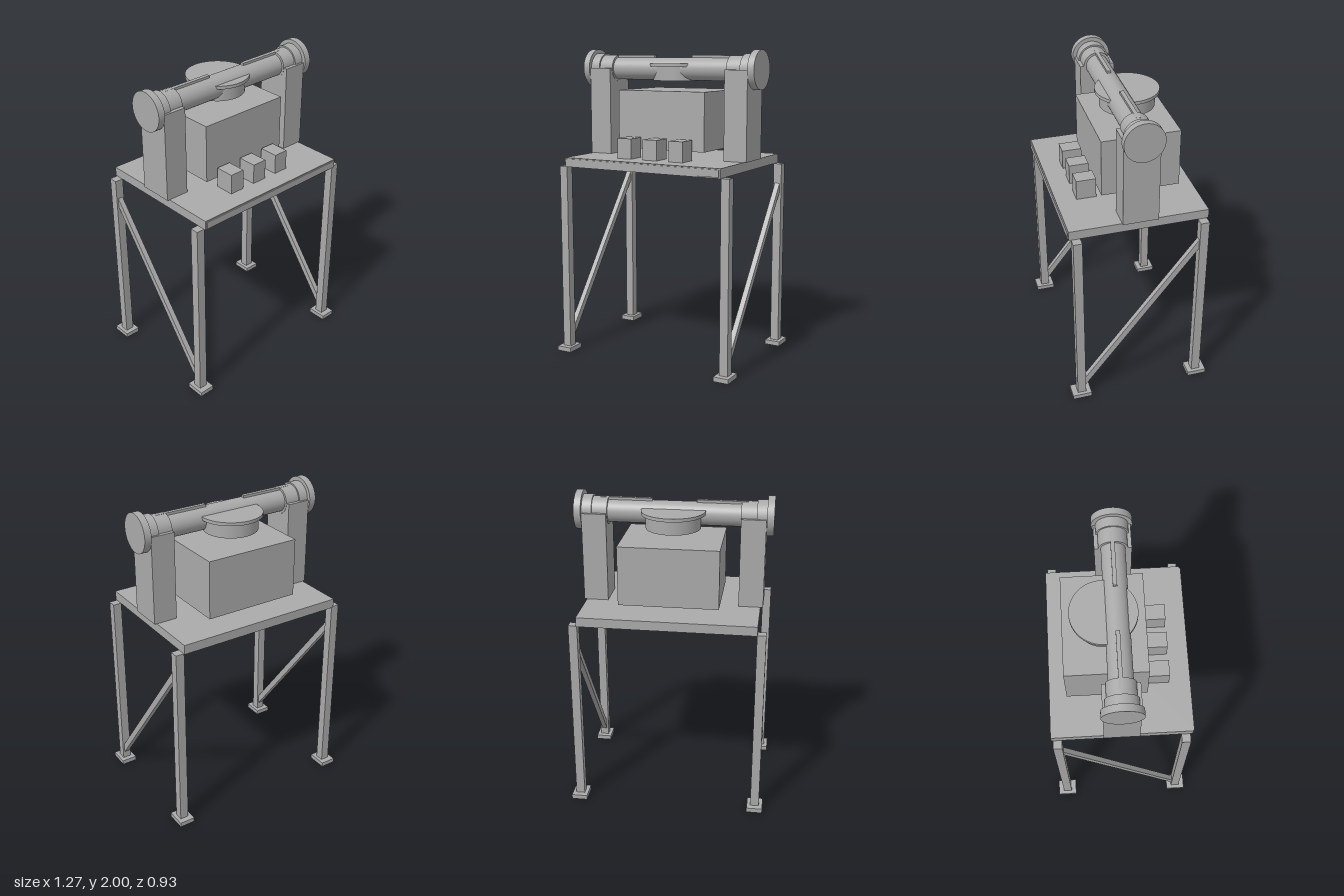
import * as THREE from 'three';

export function createModel() {
  const model = new THREE.Group();
  model.name = 'tubeOnStand';
  const grey = new THREE.MeshStandardMaterial({ color: 0xaaaaaa });
  grey.name = 'plain grey';

  const add = (name, geometry, x, y, z) => {
    const mesh = new THREE.Mesh(geometry, grey);
    mesh.name = name;
    mesh.position.set(x, y, z);
    model.add(mesh);
    return mesh;
  };
  // box given by its limits on each axis
  const box = (name, [x0, x1], [y0, y1], [z0, z1]) =>
    add(name, new THREE.BoxGeometry(x1 - x0, y1 - y0, z1 - z0),
      (x0 + x1) / 2, (y0 + y1) / 2, (z0 + z1) / 2);
  const around = (c, w) => [c - w / 2, c + w / 2];

  // table top with its front strip
  box('tableTop', [-0.56, 0.56], [1.25, 1.31], [-0.437, 0.44]);
  box('frontStrip', [-0.552, 0.552], [1.257, 1.303], [0.438, 0.447]);

  // legs and feet
  for (const sx of [-1, 1]) for (const sz of [-1, 1]) {
    box('leg', around(sx * 0.585, 0.056), [0.03, 1.25], around(sz * 0.398, 0.056));
    box('foot', around(sx * 0.585, 0.102), [0, 0.03], around(sz * 0.4, 0.126));
  }

  // diagonal braces, low at the front and high at the back
  const braceShape = new THREE.Shape([
    [-0.372, 0.075], [0.372, 1.058], [0.372, 1.122], [-0.372, 0.14],
  ].map(([u, v]) => new THREE.Vector2(u, v)));
  for (const sx of [-1, 1]) {
    const geometry = new THREE.ExtrudeGeometry(braceShape, { depth: 0.034, bevelEnabled: false });
    geometry.translate(0, 0, -0.017).rotateY(Math.PI / 2);
    add('brace', geometry, sx * 0.585, 0, 0);
  }

  // main housing and the row of small boxes before it
  box('housing', [-0.314, 0.314], [1.364, 1.74], [-0.326, 0.173]);
  for (const x of [-0.188, 0, 0.187]) {
    box('smallBox', around(x, 0.1), [1.31, 1.44], [0.186, 0.312]);
  }

  // horizontal tube
  const tubeY = 1.876;
  const alongX = (name, r, x0, x1) => add(name,
    new THREE.CylinderGeometry(r, r, x1 - x0, 64).rotateZ(Math.PI / 2),
    (x0 + x1) / 2, tubeY, 0);
  alongX('tube', 0.073, -0.6, 0.6);

  // pillars, collars, end discs and top rails on both sides
  for (const s of [-1, 1]) {
    const span = (a, b) => (s > 0 ? [a, b] : [-b, -a]);
    box('pillar', span(0.42, 0.576), [1.31, 1.877], [-0.112, 0.112]);
    alongX('innerCollar', 0.088, ...span(0.418, 0.515));
    alongX('outerCollar', 0.098, ...span(0.515, 0.58));
    alongX('endDisc', 0.124, ...span(0.578, 0.623));
    box('topRail', span(0.139, 0.484), [1.935, 1.964], [-0.015, 0.01]);
  }

  // round neck and plate passing through the tube
  add('neck', new THREE.CylinderGeometry(0.172, 0.172, 0.09, 64), 0, 1.846, -0.077);
  add('roundPlate', new THREE.CylinderGeometry(0.2, 0.2, 0.021, 64), 0, 1.901, -0.077);

  return model;
}
